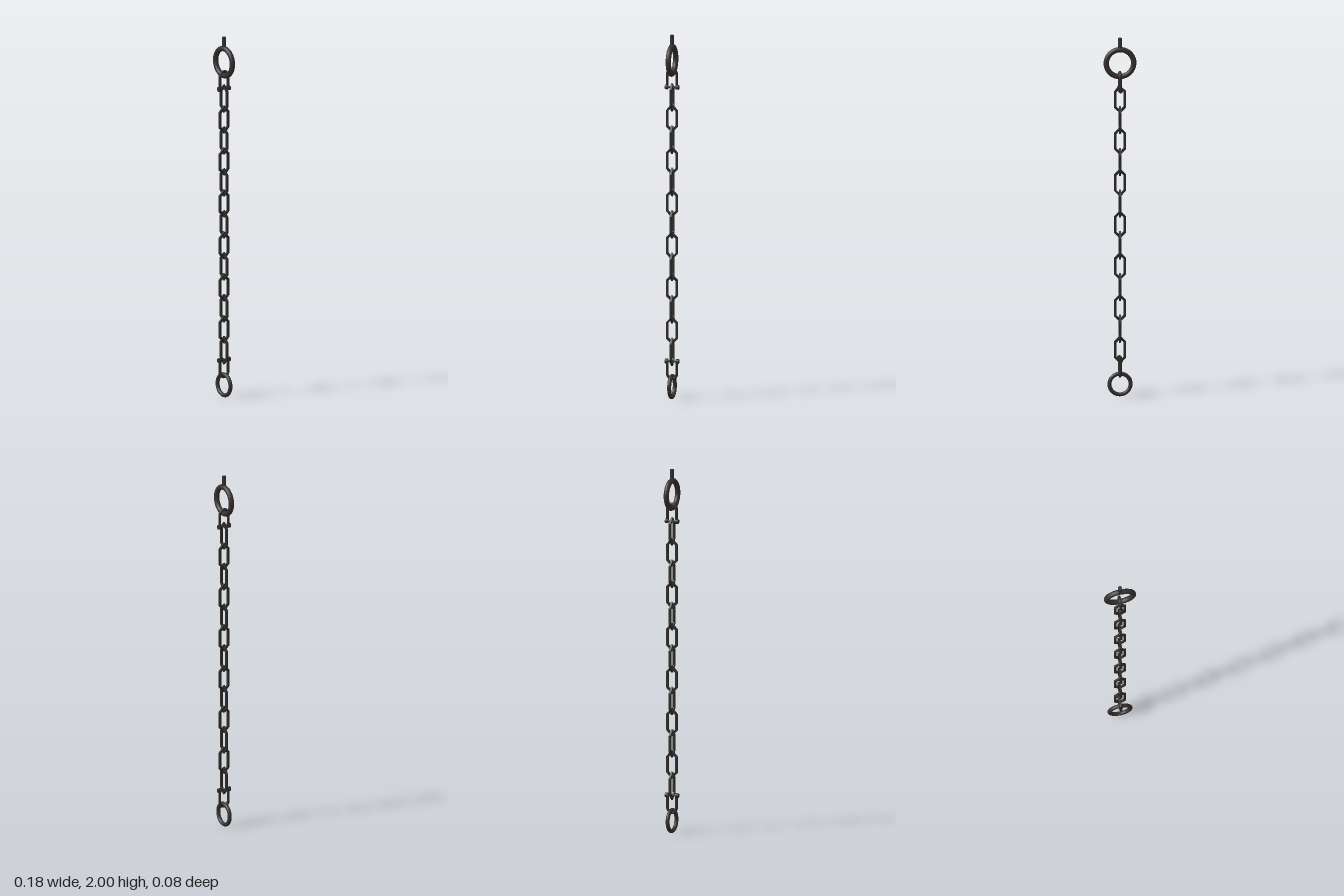
import * as THREE from 'three';

const ringIron = new THREE.MeshStandardMaterial({ color: 0x363130 });
ringIron.name = 'ring iron';
const chainIron = new THREE.MeshStandardMaterial({ color: 0x2f2b2a });
chainIron.name = 'chain iron';

function part(name, geometry, material, parent, y = 0) {
  const mesh = new THREE.Mesh(geometry, material);
  mesh.name = name;
  mesh.position.y = y;
  parent.add(mesh);
  return mesh;
}

// Pointed six-sided outline: half width, shoulder height, tip height
function hexagon(w, shoulder, tip) {
  return [[0, tip], [-w, shoulder], [-w, -shoulder], [0, -tip], [w, -shoulder], [w, shoulder]]
    .map(([x, y]) => new THREE.Vector2(x, y));
}

// Link of flat-sided bar
function linkGeometry() {
  const depth = 0.011;
  const shape = new THREE.Shape(hexagon(0.033, 0.0445, 0.0785));
  shape.holes.push(new THREE.Path(hexagon(0.0208, 0.0395, 0.061)));
  return new THREE.ExtrudeGeometry(shape, { depth, bevelEnabled: false }).translate(0, 0, -depth / 2);
}

// U-shaped shackle whose origin is its cross pin, arch pointing up
function makeShackle(name) {
  const group = new THREE.Group();
  group.name = name;
  const half = 0.0272, legTop = 0.068;
  const path = new THREE.CurvePath();
  const points = [new THREE.Vector3(0, 0, -half)];
  for (let i = 0; i <= 8; i++) {
    const a = Math.PI * (1 - i / 8);
    points.push(new THREE.Vector3(0, legTop + half * Math.sin(a), half * Math.cos(a)));
  }
  points.push(new THREE.Vector3(0, 0, half));
  for (let i = 1; i < points.length; i++) path.add(new THREE.LineCurve3(points[i - 1], points[i]));
  part('shackleBow', new THREE.TubeGeometry(path, 48, 0.0078, 10), chainIron, group);

  const pin = new THREE.CylinderGeometry(0.006, 0.006, 0.06, 10).rotateX(Math.PI / 2);
  part('shacklePin', pin, chainIron, group);
  for (const side of [-1, 1]) {
    const lug = new THREE.CylinderGeometry(0.013, 0.013, 0.016, 14).rotateX(Math.PI / 2);
    part('shackleLug', lug, chainIron, group).position.z = side * 0.0303;
  }
  return group;
}

export function createModel() {
  const model = new THREE.Group();
  model.name = 'hangingChain';

  // Mounting stud and the two end rings
  part('mountingStud', new THREE.CylinderGeometry(0.012, 0.012, 0.07, 14), ringIron, model, 1.965);
  part('topRing', new THREE.TorusGeometry(0.075, 0.0148, 14, 40), ringIron, model, 1.861);
  part('bottomRing', new THREE.TorusGeometry(0.058, 0.011, 14, 36), ringIron, model, 0.069);

  // Shackles joining the rings to the chain
  const upper = makeShackle('upperShackle');
  upper.position.y = 1.714;
  const lower = makeShackle('lowerShackle');
  lower.position.y = 0.208;
  lower.rotation.z = Math.PI;
  model.add(upper, lower);

  // Thirteen links, each turned a quarter from its neighbour
  const chain = new THREE.Group();
  chain.name = 'chain';
  model.add(chain);
  const link = linkGeometry();
  for (let i = 0; i < 13; i++) {
    const mesh = part('chainLink', link, chainIron, chain, 1.659 - i * 0.1165);
    mesh.rotation.y = (i % 2) * Math.PI / 2;
  }
  return model;
}
